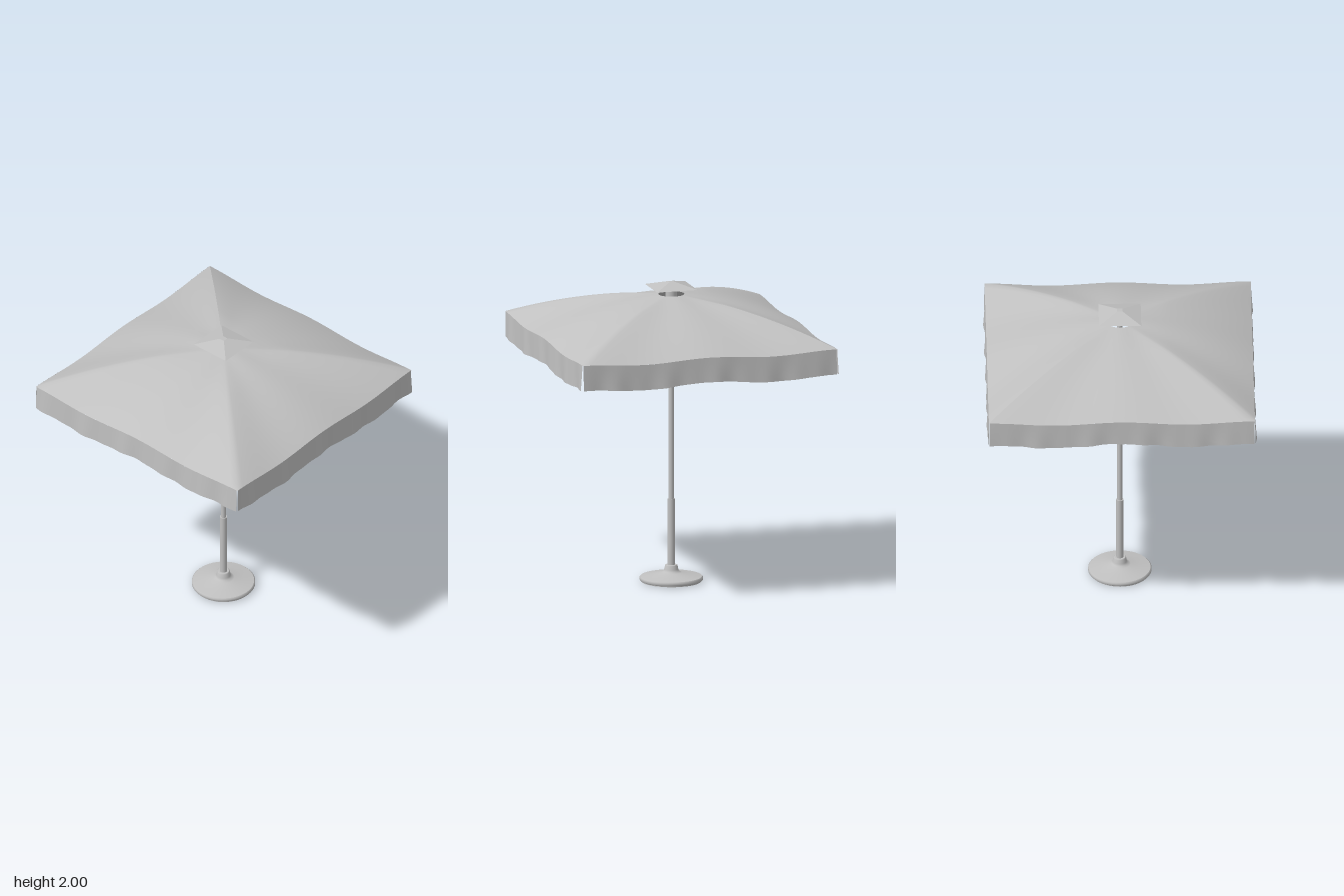
import * as THREE from 'three';

const HALF = 0.868;   // half width of the canopy
const INNER = 0.085;  // radius of the vent hole

// Height of the canopy ribs at a distance m from the pole
const ribHeight = (m) => 1.917 - 0.128 * (m - INNER) - 0.232 * (m - INNER) ** 2;
// Fabric sag between the corner ribs and the middle rib of each side, u in -1..1
const sag = (u) => 0.02 * (Math.cos(2 * Math.PI * u) - 1) / 2;

// Grid surface: fn(i, j) gives a point; rows run outward, columns run around
function gridSurface(rows, cols, fn) {
  const pos = [], index = [];
  for (let i = 0; i <= rows; i++) for (let j = 0; j <= cols; j++) pos.push(...fn(i / rows, j));
  for (let i = 0; i < rows; i++) for (let j = 0; j < cols; j++) {
    const a = i * (cols + 1) + j, b = a + 1, c = a + cols + 1, d = c + 1;
    index.push(a, b, c, b, d, c);
  }
  const g = new THREE.BufferGeometry();
  g.setAttribute('position', new THREE.Float32BufferAttribute(pos, 3));
  g.setIndex(index);
  g.computeVertexNormals();
  return g;
}

// Square tent with a round hole at the top, built from rings
function canopyGeometry() {
  const perSide = 32;
  return gridSurface(28, perSide * 4, (t, j) => {
    const m = INNER + (HALF - INNER) * t;
    const side = Math.floor(j / perSide) % 4;
    const u = (j % perSide) / perSide * 2 - 1;
    const blend = THREE.MathUtils.smoothstep(t, 0, 0.3);
    const k = THREE.MathUtils.lerp(1 / Math.hypot(1, u), 1, blend);
    const p = new THREE.Vector2(m * k, m * u * k)
      .rotateAround(new THREE.Vector2(), side * Math.PI / 2);
    return [p.x, ribHeight(m) + sag(u) * t, p.y];
  });
}

// Hanging strip with a gently rippled lower edge
function valanceGeometry(phase) {
  const cols = 64, w = 0.863;
  return gridSurface(6, cols, (v, j) => {
    const u = j / cols * 2 - 1;
    const ripple = 0.005 * Math.sin(u * 17 + phase) + 0.003 * Math.sin(u * 31 + phase * 2);
    const top = ribHeight(HALF) + sag(u);
    const bottom = 1.5 + 0.012 * Math.cos(2 * Math.PI * u) - 0.006 * u * u;
    return [-u * w, THREE.MathUtils.lerp(top, bottom, v), HALF + v * (0.006 + ripple)];
  });
}

// Turned part; a repeated point keeps that edge crisp
function lathe(points, segments = 32) {
  const pts = points.map(([x, y]) => new THREE.Vector2(x, y));
  return new THREE.LatheGeometry(pts, segments);
}

export function createModel() {
  const model = new THREE.Group();
  const grey = new THREE.MeshStandardMaterial({ color: 0xc0c0c0, side: THREE.DoubleSide });
  grey.name = 'light grey';

  const add = (name, geometry, y = 0) => {
    const mesh = new THREE.Mesh(geometry, grey);
    mesh.name = name;
    mesh.position.y = y;
    model.add(mesh);
    return mesh;
  };
  const tube = (name, r, y0, y1) =>
    add(name, new THREE.CylinderGeometry(r, r, y1 - y0, 24), (y0 + y1) / 2);
  // Short cylinder with bevelled rims
  const collar = (name, r, y0, y1, b = 0.007) => add(name, lathe([
    [0, y0], [r - b, y0], [r - b, y0], [r, y0 + b], [r, y0 + b],
    [r, y1 - b], [r, y1 - b], [r - b, y1], [r - b, y1], [0, y1],
  ]));

  // Round foot with a neck that holds the pole
  add('base', lathe([
    [0, 0.005], [0.2, 0.005], [0.2, 0.005], [0.207, 0.012], [0.207, 0.026], [0.2, 0.033],
    [0.2, 0.033], [0.13, 0.045], [0.07, 0.058], [0.052, 0.066], [0.046, 0.08],
    [0.041, 0.105], [0.036, 0.11], [0.036, 0.11], [0, 0.11],
  ], 48));
  add('baseSole', new THREE.CylinderGeometry(0.197, 0.197, 0.006, 48), 0.003);

  // Pole in two sections, with the sliding collar and top hub
  tube('lowerPole', 0.024, 0.08, 0.55);
  tube('upperPole', 0.017, 0.54, 1.93);
  collar('slidingCollar', 0.032, 1.373, 1.468);
  collar('topHub', 0.037, 1.895, 1.956);

  // Fabric
  add('canopy', canopyGeometry());
  ['front', 'left', 'back', 'right'].forEach((side, i) => {
    add(side + 'Valance', valanceGeometry(i * 1.7)).rotation.y = i * Math.PI / 2;
  });

  // Small square vent cap
  const cap = new THREE.CylinderGeometry(0.018 * Math.SQRT2, 0.138 * Math.SQRT2, 0.037, 4, 1, true)
    .rotateY(Math.PI / 4).toNonIndexed();
  cap.computeVertexNormals();
  add('ventCap', cap, 1.9815);
  add('ventCapTop', new THREE.PlaneGeometry(0.036, 0.036).rotateX(-Math.PI / 2), 2);

  return model;
}
